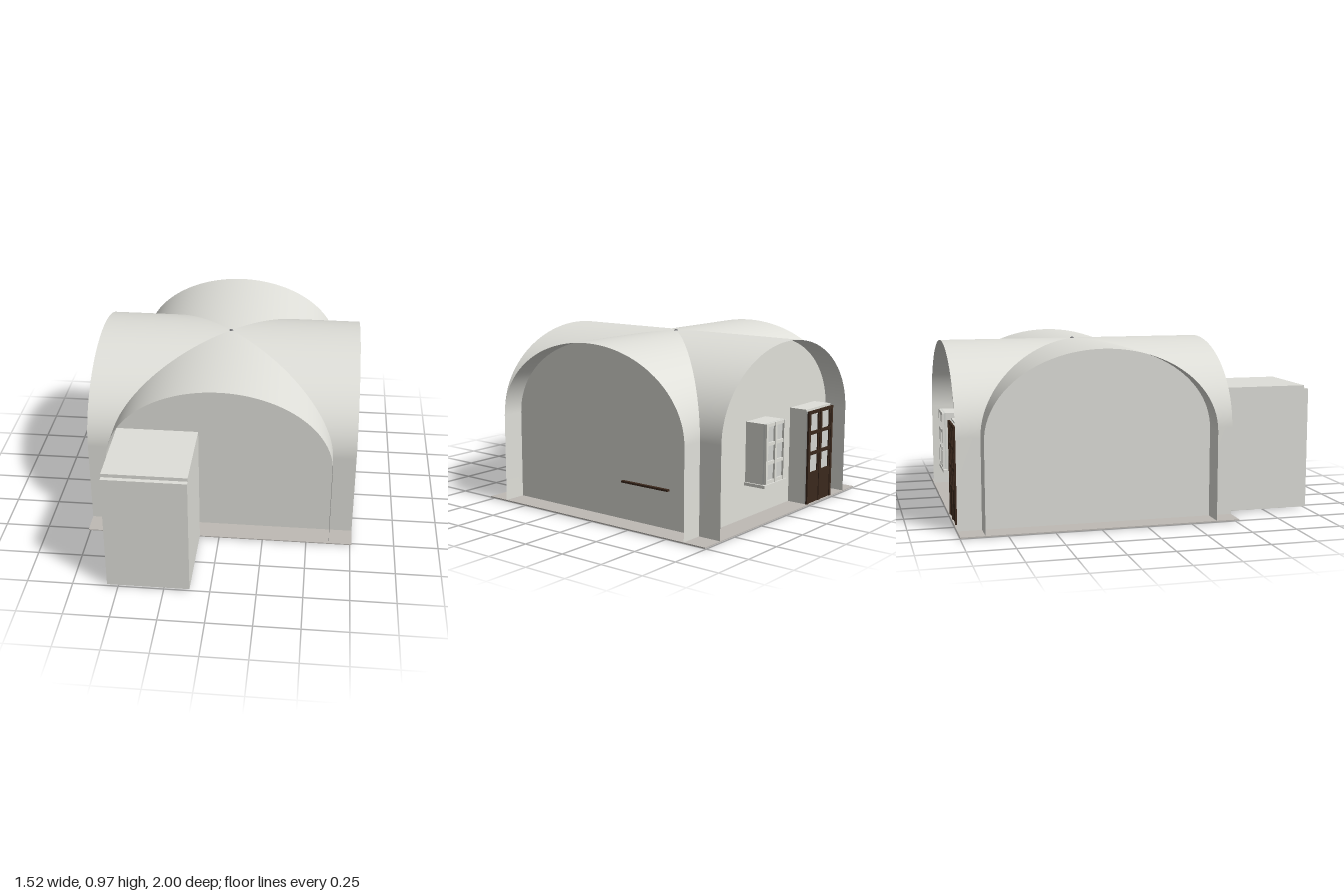
import * as THREE from 'three';

const mat = (name, color, side = THREE.FrontSide) => {
  const m = new THREE.MeshStandardMaterial({ color, side });
  m.name = name;
  return m;
};

export function createModel() {
  const plaster = mat('plaster', 0xdfdfd9, THREE.DoubleSide);
  const stone = mat('floorStone', 0xbebab5);
  const wood = mat('darkWood', 0x3a281c);
  const glass = mat('paneGrey', 0xd2d4d0);
  const metal = mat('bossGrey', 0x77777a);

  const model = new THREE.Group();
  model.name = 'vaultedRoom';

  const add = (parent, name, geometry, material) => {
    const mesh = new THREE.Mesh(geometry, material);
    mesh.name = name;
    parent.add(mesh);
    return mesh;
  };
  // Box given by its minimum and maximum corners
  const box = (parent, name, material, [x0, y0, z0], [x1, y1, z1]) => {
    const mesh = add(parent, name, new THREE.BoxGeometry(x1 - x0, y1 - y0, z1 - z0), material);
    mesh.position.set((x0 + x1) / 2, (y0 + y1) / 2, (z0 + z1) / 2);
    return mesh;
  };

  const INNER = 0.63, OUTER = 0.76, BASE = 0.01, SPRING = 0.5, RISE = 0.46, SEG = 48;

  // Arch outline: straight jambs and a half ellipse
  const arch = [[-INNER, BASE]];
  for (let i = 0; i <= SEG; i++) {
    const a = Math.PI * (1 - i / SEG);
    arch.push([INNER * Math.cos(a), SPRING + RISE * Math.sin(a)]);
  }
  arch.push([INNER, BASE]);

  // One arm of the cross vault, cut along the groins on its inner side
  const positions = [], indices = [];
  arch.forEach(([u, y], i) => {
    positions.push(u, y, Math.abs(u), u, y, OUTER);
    if (i) {
      const a = 2 * i - 2;
      indices.push(a, a + 1, a + 3, a, a + 3, a + 2);
    }
  });
  const armGeometry = new THREE.BufferGeometry();
  armGeometry.setAttribute('position', new THREE.Float32BufferAttribute(positions, 3));
  armGeometry.setIndex(indices);
  armGeometry.computeVertexNormals();

  const wallGeometry = new THREE.ShapeGeometry(
    new THREE.Shape(arch.map(([x, y]) => new THREE.Vector2(x, y))));

  // Four arms, each closed by a recessed wall
  const room = new THREE.Group();
  room.name = 'room';
  room.position.z = -0.24;
  model.add(room);
  for (let k = 0; k < 4; k++) {
    const bay = new THREE.Group();
    bay.name = 'bay' + (k + 1);
    bay.rotation.y = k * Math.PI / 2;
    add(bay, 'vaultArm', armGeometry, plaster);
    add(bay, 'endWall', wallGeometry, plaster).position.z = INNER;
    room.add(bay);
  }
  box(room, 'floor', stone, [-OUTER, 0.004, -OUTER], [OUTER, BASE, OUTER]);
  add(room, 'keystoneBoss', new THREE.SphereGeometry(0.014, 16, 10), metal).position.y = 0.953;

  // Front annex with a small step at the top of its front edge
  const side = new THREE.Shape([
    [0.52, BASE], [1, BASE], [1, 0.69], [0.975, 0.69], [0.975, 0.71], [0.52, 0.71],
  ].map(([z, y]) => new THREE.Vector2(-z, y)));
  const annex = add(model, 'annex',
    new THREE.ExtrudeGeometry(side, { depth: 0.45, bevelEnabled: false }), plaster);
  annex.rotation.y = Math.PI / 2;
  annex.position.x = -0.56;
  box(model, 'annexFloor', stone, [-0.51, 0, 0.52], [-0.15, BASE, 0.975]);

  // Glazed joinery facing -z: frame plate, panes and raised bars
  const glazing = (name, material, x0, x1, y0, y1, z, paneBase) => {
    const g = new THREE.Group();
    g.name = name;
    model.add(g);
    const b = 0.018, mid = (x0 + x1) / 2;
    box(g, 'panes', glass, [x0, y0, z], [x1, y1, z + 0.008]);
    for (const x of [x0, mid - b / 2, x1 - b]) {
      box(g, 'upright', material, [x, y0, z - 0.012], [x + b, y1, z]);
    }
    for (let i = 0; i <= 3; i++) {
      const y = paneBase + (y1 - b - paneBase) * i / 3;
      box(g, 'crossbar', material, [x0, y, z - 0.01], [x1, y + b, z]);
    }
    return g;
  };

  // Window bay with sill in the back wall
  box(model, 'windowSurround', plaster, [0.025, 0.21, -0.98], [0.215, 0.54, -0.87]);
  glazing('window', plaster, 0.025, 0.215, 0.215, 0.54, -0.988, 0.215);
  box(model, 'windowSill', plaster, [0.005, 0.195, -1], [0.225, 0.212, -0.87]);

  // Double door bay in the back wall
  box(model, 'doorSurround', plaster, [-0.495, BASE, -0.975], [-0.23, 0.55, -0.87]);
  const door = glazing('doubleDoor', wood, -0.495, -0.23, BASE, 0.54, -0.983, 0.17);
  box(door, 'lowerPanel', wood, [-0.49, BASE, -0.99], [-0.235, 0.18, -0.983]);
  for (const x of [-0.477, -0.372, -0.353, -0.248]) {
    box(door, 'leafStile', wood, [x - 0.012, 0.17, -0.99], [x + 0.012, 0.54, -0.983]);
  }

  // Thin shelf on the left wall
  box(model, 'wallShelf', wood, [0.62, 0.215, -0.68], [0.65, 0.225, -0.37]);

  return model;
}
